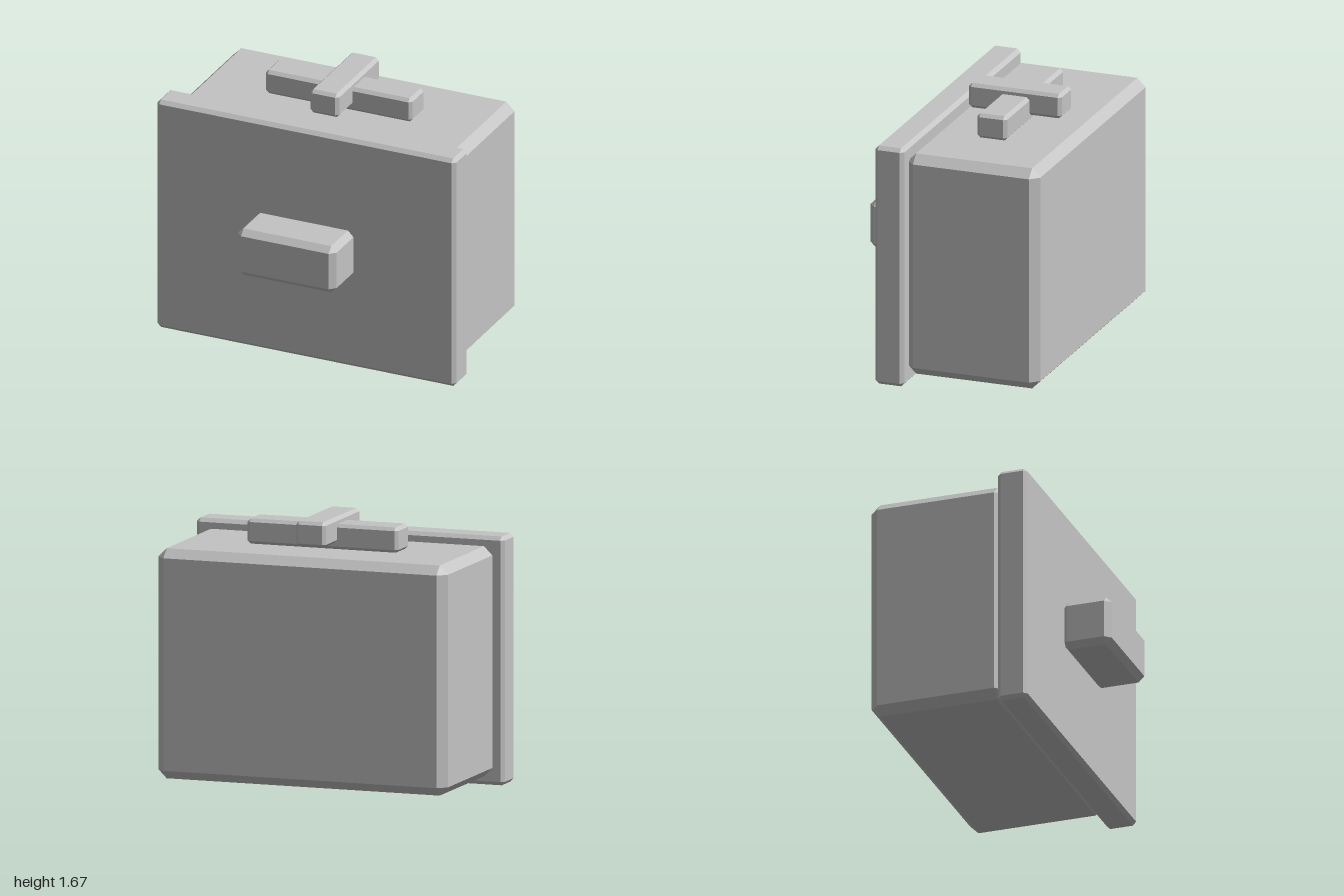
import * as THREE from 'three';
import { ConvexGeometry } from 'three/addons/geometries/ConvexGeometry.js';

const grey = new THREE.MeshStandardMaterial({ color: 0xc4c4c4 });
grey.name = 'light grey';

// Box from min to max corner with every edge cut by a flat chamfer c
function chamferBox(name, min, max, c) {
  const half = min.map((v, i) => (max[i] - v) / 2);
  const points = [];
  for (const sx of [-1, 1]) for (const sy of [-1, 1]) for (const sz of [-1, 1]) {
    for (let outer = 0; outer < 3; outer++) {
      const p = [sx, sy, sz].map((s, i) => s * (half[i] - (i === outer ? 0 : c)));
      points.push(new THREE.Vector3(...p));
    }
  }
  const mesh = new THREE.Mesh(new ConvexGeometry(points), grey);
  mesh.name = name;
  mesh.position.set(...min.map((v, i) => (v + max[i]) / 2));
  return mesh;
}

export function createModel() {
  const model = new THREE.Group();
  model.name = 'drawer';
  model.add(
    // Drawer body and its wider front
    chamferBox('body', [-0.94, 0.06, -0.667], [0.94, 1.475, 0.195], 0.054),
    chamferBox('frontPanel', [-1, 0, 0.18], [1, 1.53, 0.37], 0.023),
    // Pull handle, sunk slightly into the front
    chamferBox('handle', [-0.33, 0.613, 0.353], [0.33, 0.925, 0.667], 0.037),
    // Crossed bars lying on the top
    chamferBox('lowerBar', [-0.49, 1.473, -0.292], [0.49, 1.63, -0.097], 0.02),
    chamferBox('upperBar', [-0.097, 1.513, -0.495], [0.097, 1.67, 0.108], 0.02)
  );
  return model;
}
